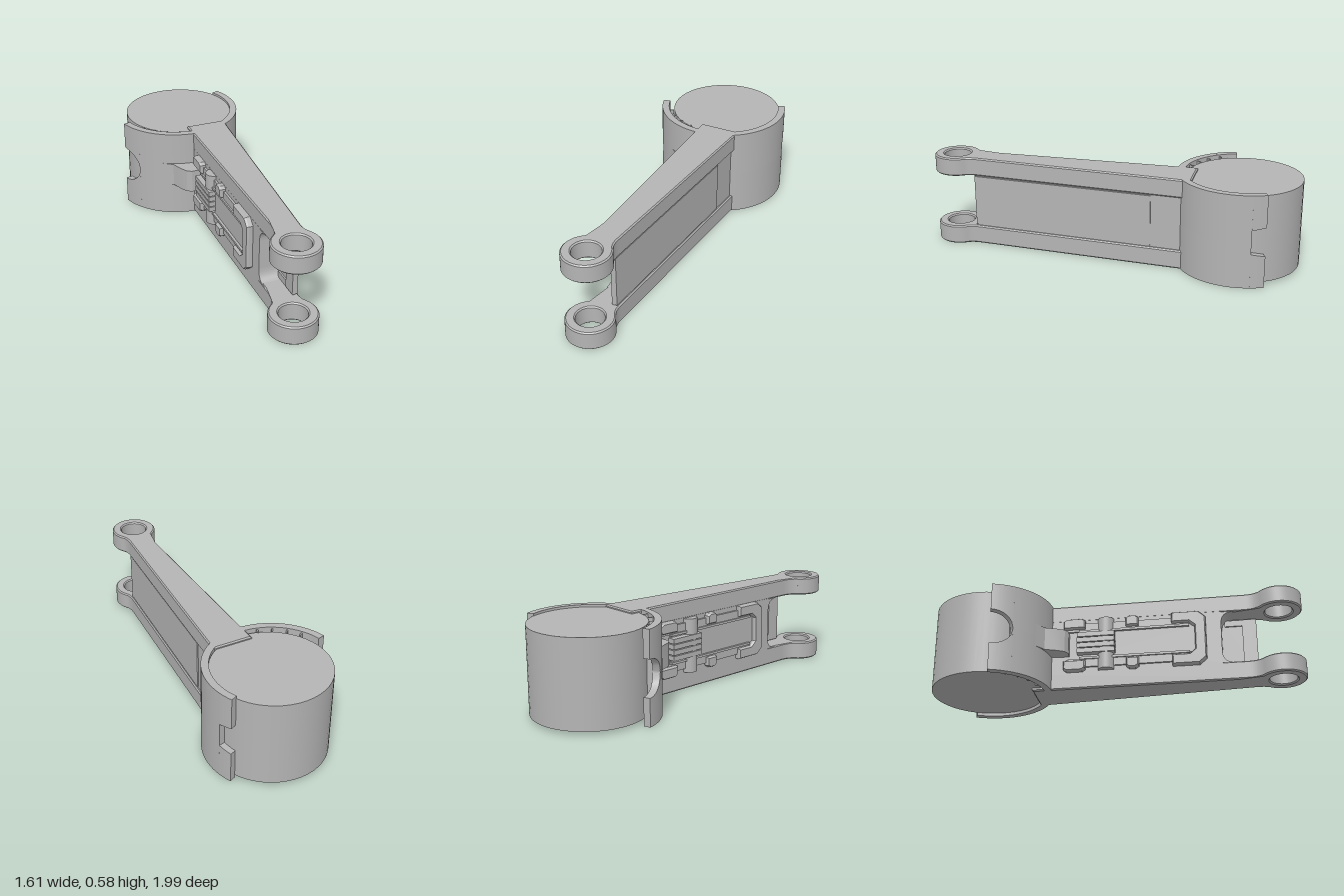
import * as THREE from 'three';
import { toCreasedNormals } from 'three/addons/utils/BufferGeometryUtils.js';

const grey = new THREE.MeshStandardMaterial({ color: 0xb4b4b4 });
grey.name = 'grey';

const H = 0.58;      // overall height
const MID = H / 2;

function add(parent, name, geometry) {
  const mesh = new THREE.Mesh(geometry, grey);
  mesh.name = name;
  parent.add(mesh);
  return mesh;
}

// Box given by its limits
function block(parent, name, x0, x1, y0, y1, z0, z1) {
  const m = add(parent, name, new THREE.BoxGeometry(x1 - x0, y1 - y0, z1 - z0));
  m.position.set((x0 + x1) / 2, (y0 + y1) / 2, (z0 + z1) / 2);
  return m;
}

const polygon = (pts) => new THREE.Shape(pts.map(([x, y]) => new THREE.Vector2(x, y)));

// Plan outline (x, -z) raised from y0 to y1
function raise(shape, y0, y1, bevel = 0) {
  const g = new THREE.ExtrudeGeometry(shape, {
    depth: y1 - y0 - 2 * bevel, curveSegments: 20, bevelEnabled: bevel > 0,
    bevelSize: bevel, bevelThickness: bevel, bevelOffset: -bevel, bevelSegments: 1,
  });
  g.rotateX(-Math.PI / 2);
  g.translate(0, y0 + bevel, 0);
  return toCreasedNormals(g, 0.5);
}

// Curved wall between two angles, with lower and upper edges given as functions of the angle
function curvedWall(a0, a1, n, rIn, rOut, lower, upper) {
  const pos = [], index = [];
  for (let i = 0; i <= n; i++) {
    const a = THREE.MathUtils.degToRad(a0 + (a1 - a0) * i / n);
    const deg = a0 + (a1 - a0) * i / n;
    const lo = lower(deg), hi = upper(deg);
    for (const [r, y] of [[rIn, lo], [rOut, lo], [rOut, hi], [rIn, hi]]) {
      pos.push(r * Math.cos(a), y, r * Math.sin(a));
    }
    if (i < n) {
      for (let k = 0; k < 4; k++) {
        const p = i * 4 + k, q = i * 4 + (k + 1) % 4;
        index.push(p, q, q + 4, p, q + 4, p + 4);
      }
    }
  }
  const e = n * 4;
  index.push(0, 2, 1, 0, 3, 2, e, e + 1, e + 2, e, e + 2, e + 3);
  // wind every face outwards
  for (let i = 0; i < index.length; i += 3) [index[i + 1], index[i + 2]] = [index[i + 2], index[i + 1]];
  const g = new THREE.BufferGeometry();
  g.setAttribute('position', new THREE.Float32BufferAttribute(pos, 3));
  g.setIndex(index);
  const tri = g.toNonIndexed();
  // check orientation by signed volume and flip if needed
  const P = tri.attributes.position;
  const v = [0, 1, 2].map(() => new THREE.Vector3());
  let volume = 0;
  for (let i = 0; i < P.count; i += 3) {
    v.forEach((w, k) => w.fromBufferAttribute(P, i + k));
    volume += v[0].dot(v[1].clone().cross(v[2]));
  }
  if (volume < 0) {
    for (let i = 0; i < P.count; i += 3) {
      v.forEach((w, k) => w.fromBufferAttribute(P, i + k));
      P.setXYZ(i + 1, v[2].x, v[2].y, v[2].z);
      P.setXYZ(i + 2, v[1].x, v[1].y, v[1].z);
    }
  }
  return toCreasedNormals(tri, 0.5);
}

function buildHousing(root) {
  const drum = add(root, 'drum', new THREE.CylinderGeometry(0.355, 0.355, 0.545, 48));
  drum.position.set(-0.45, 0.2925, -0.645);

  const shell = new THREE.Group();
  shell.name = 'shell';
  shell.position.set(-0.465, 0, -0.63);
  root.add(shell);
  // Notches: trapezoid at the rear end, rounded at the front end
  const notch = (d) => {
    if (d < -50) return 0.075 + 0.015 * (-50 - d) / 12;
    if (d > 109) return 0.115 * Math.sqrt(1 - ((129 - d) / 20) ** 2);
    return 0;
  };
  const spans = [[-62, -50.01, 4], [-50, 109, 40], [109.01, 129, 14]];
  for (const [a0, a1, n] of spans) {
    add(shell, 'shellLower', curvedWall(a0, a1, n, 0.37, 0.415, () => 0, (d) => MID - notch(d)));
    add(shell, 'shellUpper', curvedWall(a0, a1, n, 0.37, 0.415, (d) => MID + notch(d), () => H));
  }
  add(shell, 'innerLip', curvedWall(20, 108, 24, 0.335, 0.372, () => 0.04, () => 0.54));
  for (const a of [68, 82, 96, 110]) {
    for (const y of [0.01, 0.54]) {
      add(shell, 'shellRib', curvedWall(a, a + 1.5, 1, 0.34, 0.372, () => y, () => y + 0.03));
    }
  }

  // Hook reaching from the shell to the clamp
  const hook = polygon([[-0.45, 0.216], [-0.36, 0.216], [-0.29, 0.17], [-0.25, 0.152],
    [-0.215, 0.155], [-0.16, 0.2], [-0.3, 0.32], [-0.45, 0.26]]);
  add(root, 'hook', raise(hook, 0.22, 0.37));
}

function buildArm(root) {
  // Local x runs along the arm, local z points out of its front face
  const arm = new THREE.Group();
  arm.name = 'arm';
  arm.position.set(-0.31, 0, -0.38);
  arm.rotation.y = -0.9385;
  root.add(arm);

  // Two side plates ending in eyes
  const plate = new THREE.Shape();
  plate.moveTo(0, 0);
  plate.lineTo(1.35, 0);
  plate.quadraticCurveTo(1.42, 0, 1.452, -0.041);
  plate.absarc(1.563, 0.052, 0.145, -2.444, 2.18, false);
  plate.quadraticCurveTo(1.45, 0.15, 1.39, 0.155);
  plate.lineTo(0, 0.258);
  const eye = new THREE.Path();
  eye.absarc(1.563, 0.052, 0.085, 0, Math.PI * 2, true);
  plate.holes.push(eye);
  add(arm, 'lowerPlate', raise(plate, 0, 0.12, 0.008));
  add(arm, 'upperPlate', raise(plate, 0.463, H, 0.008));

  // Web with a stepped end, and the raised back panel
  add(arm, 'web', raise(polygon([[0, 0], [1.2, 0], [1.2, 0.125], [1.41, 0.125], [1.41, 0.138], [0, 0.243]]),
    0.11, 0.47));
  add(arm, 'backPanel', raise(polygon([[0.25, 0.2], [1.42, 0.128], [1.42, 0.145], [0.25, 0.232]]),
    0.128, 0.455));

  // Rounded corners of the end opening
  for (const s of [1, -1]) {
    const y = MID + s * 0.175;
    const f = new THREE.Shape();
    f.moveTo(1.195, y);
    f.lineTo(1.28, y);
    f.quadraticCurveTo(1.2, y, 1.2, y - s * 0.08);
    f.lineTo(1.195, y - s * 0.08);
    const g = new THREE.ExtrudeGeometry(f, { depth: 0.125, bevelEnabled: false, curveSegments: 8 });
    add(arm, 'openingCorner', toCreasedNormals(g, 0.5)).position.z = -0.125;
    block(arm, 'panelLip', 1.22, 1.42, MID + s * 0.145 - 0.02, MID + s * 0.145 + 0.02, -0.13, -0.115);
  }
  block(arm, 'panelEndLip', 1.33, 1.42, 0.128, 0.455, -0.13, -0.112);
  return arm;
}

function buildClamp(arm) {
  const clamp = new THREE.Group();
  clamp.name = 'clamp';
  arm.add(clamp);
  block(clamp, 'centrePlate', 0.3, 1.04, 0.2, 0.38, -0.01, 0.008);

  // Upright pin
  const pin = add(clamp, 'pin', new THREE.CylinderGeometry(0.052, 0.052, 0.35, 24));
  pin.position.set(0.47, MID, -0.005);

  // Grip slats
  for (let i = 0; i < 4; i++) {
    const y = 0.222 + i * 0.037;
    block(clamp, 'slat', 0.29, 0.53, y, y + 0.031, 0, 0.052);
  }

  const bevel = { depth: 0.026, bevelSize: 0.007, bevelThickness: 0.012, bevelOffset: -0.007, bevelSegments: 1 };
  for (const s of [1, -1]) {
    const band = (name, x0, x1, a, b, z) =>
      block(clamp, name, x0, x1, Math.min(MID + s * a, MID + s * b), Math.max(MID + s * a, MID + s * b), -0.01, z);
    band('rail', 0.22, 1.0, 0.095, 0.15, 0.014);
    band('railEdge', 0.3, 1.0, 0.085, 0.1, 0.024);
    // Chamfered lugs
    for (const [x0, x1] of [[0.2, 0.34], [0.6, 0.68]]) {
      const lug = polygon([[x0, MID + s * 0.11], [x1, MID + s * 0.11], [x1, MID + s * 0.165],
        [x1 - 0.02, MID + s * 0.18], [x0 + 0.02, MID + s * 0.18], [x0, MID + s * 0.165]]);
      add(clamp, 'lug', new THREE.ExtrudeGeometry(lug, bevel));
    }
  }

  // End bracket
  const bracket = polygon([[0.89, 0.47], [1.06, 0.47], [1.105, 0.43], [1.105, 0.15], [1.06, 0.11], [0.89, 0.11],
    [0.89, 0.18], [1.0, 0.18], [1.035, 0.21], [1.035, 0.37], [1.0, 0.4], [0.89, 0.4]]);
  add(clamp, 'endBracket', new THREE.ExtrudeGeometry(bracket, bevel));
}

export function createModel() {
  const root = new THREE.Group();
  root.name = 'hingedArm';
  buildHousing(root);
  buildClamp(buildArm(root));
  return root;
}
